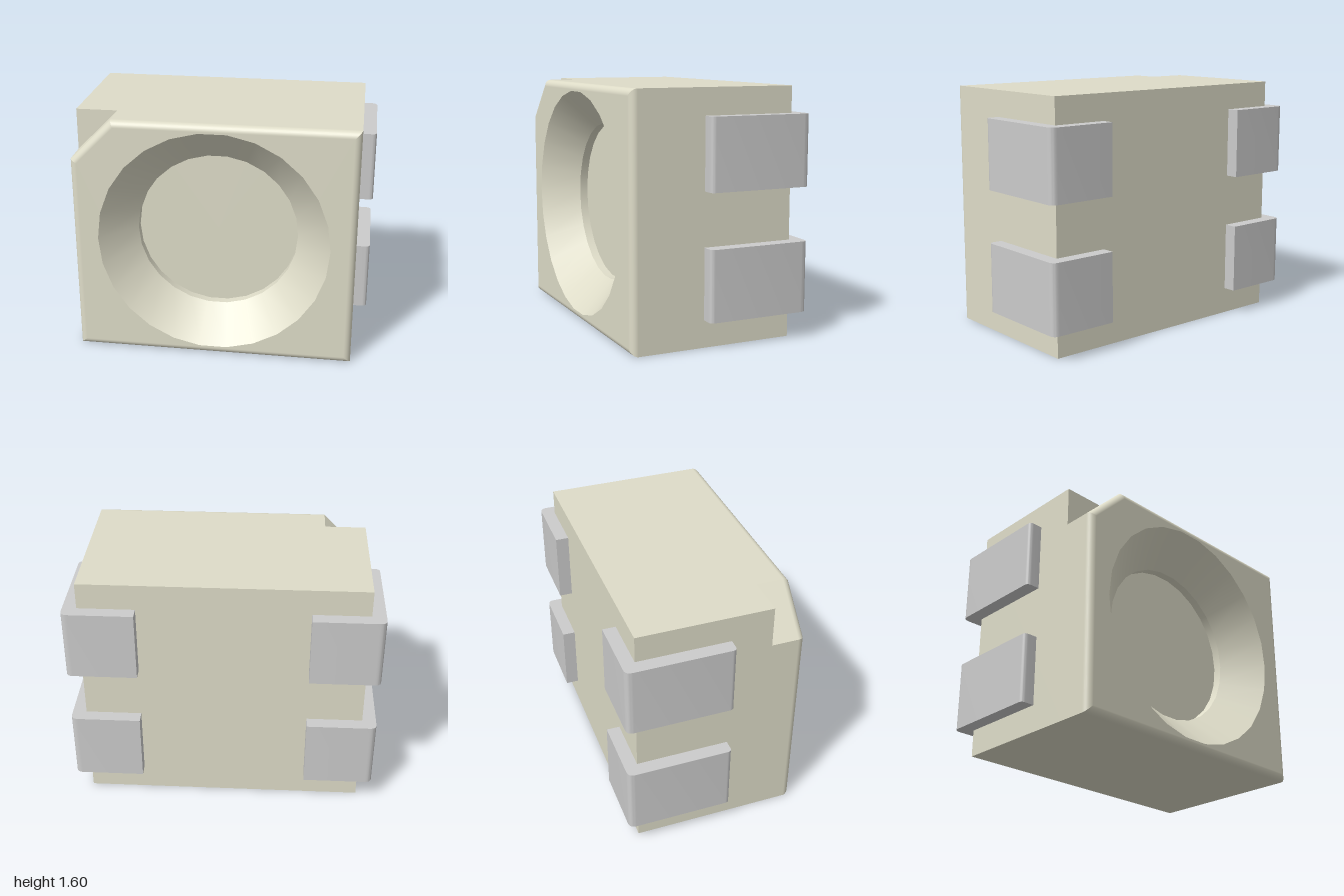
import * as THREE from 'three';
import { toCreasedNormals } from 'three/addons/utils/BufferGeometryUtils.js';

const BACK = -0.5, LEDGE = 0.365, FLOOR = 0.31, FRONT = 0.585;
const R = 0.045, SIDES = 26, CY = 0.8;
const RECT = [[-0.91, 0], [0.91, 0], [0.91, 1.6], [-0.91, 1.6]];
const CUT = [[-0.91, 0], [0.91, 0], [0.91, 1.6], [-0.64, 1.6], [-0.91, 1.33]];

const edgeNormal = (a, b) => {
  const l = Math.hypot(b[0] - a[0], b[1] - a[1]);
  return [(b[1] - a[1]) / l, (a[0] - b[0]) / l];
};

// Convex counter-clockwise outline moved inwards by d, with mitred corners
function inset(poly, d) {
  return poly.map((p, i) => {
    const n = poly.length;
    const m = edgeNormal(poly[(i + n - 1) % n], p), k = edgeNormal(p, poly[(i + 1) % n]);
    const s = d / (1 + m[0] * k[0] + m[1] * k[1]);
    return [p[0] - (m[0] + k[0]) * s, p[1] - (m[1] + k[1]) * s];
  });
}

// Side walls through rings of { d: inset, z, a: tilt of the normal to the front }
function walls(poly, rings) {
  const pos = [], nor = [], idx = [];
  const loops = rings.map(r => inset(poly, r.d));
  poly.forEach((p, i) => {
    const j = (i + 1) % poly.length, n = edgeNormal(p, poly[j]), base = pos.length / 3;
    rings.forEach((r, k) => {
      for (const q of [loops[k][i], loops[k][j]]) {
        pos.push(q[0], q[1], r.z);
        nor.push(n[0] * Math.cos(r.a), n[1] * Math.cos(r.a), Math.sin(r.a));
      }
      if (k) {
        const o = base + 2 * k - 2;
        idx.push(o, o + 1, o + 3, o, o + 3, o + 2);
      }
    });
  });
  const g = new THREE.BufferGeometry();
  g.setAttribute('position', new THREE.Float32BufferAttribute(pos, 3));
  g.setAttribute('normal', new THREE.Float32BufferAttribute(nor, 3));
  g.setIndex(idx);
  return g;
}

const outline = pts => new THREE.Shape(pts.map(p => new THREE.Vector2(p[0], p[1])));

// Inward-facing band of the recess, from the front ring to the deeper one
const band = (r0, z0, r1, z1) => new THREE.LatheGeometry(
  [new THREE.Vector2(r0, z0), new THREE.Vector2(r1, z1)], SIDES, Math.PI / 2)
  .rotateX(Math.PI / 2).translate(0, CY, 0);

// L-shaped contact wrapping a rear side edge; s = +1 left, -1 right
function contactGeometry(s) {
  const h = 0.455, r = 0.045, e = 0.03;
  const sh = new THREE.Shape();
  sh.moveTo(s * 0.91, -0.1);
  sh.lineTo(s * (1 - e), -0.1);
  sh.quadraticCurveTo(s, -0.1, s, -0.1 + e);
  sh.lineTo(s, 0.585 - r);
  sh.quadraticCurveTo(s, 0.585, s * (1 - r), 0.585);
  sh.lineTo(s * 0.545, 0.585);
  sh.lineTo(s * 0.545, 0.5);
  sh.lineTo(s * 0.91, 0.5);
  sh.closePath();
  const g = new THREE.ExtrudeGeometry(sh, { depth: h, bevelEnabled: false, curveSegments: 8 });
  return toCreasedNormals(g.rotateX(-Math.PI / 2), 0.6);
}

export function createModel() {
  const model = new THREE.Group();
  const bodyMat = new THREE.MeshStandardMaterial({ color: 0xdedcc8 });
  const metalMat = new THREE.MeshStandardMaterial({ color: 0xcccccc });
  const add = (parent, name, geo, mat) => {
    const m = new THREE.Mesh(geo, mat);
    m.name = name;
    parent.add(m);
    return m;
  };

  // Housing: plain rear block, then a front with one cut corner and rounded edges
  const housing = new THREE.Group();
  housing.name = 'housing';
  model.add(housing);
  add(housing, 'rearWalls', walls(RECT, [{ d: 0, z: BACK, a: 0 }, { d: 0, z: LEDGE, a: 0 }]), bodyMat);
  add(housing, 'backFace', new THREE.PlaneGeometry(1.82, 1.6).rotateY(Math.PI).translate(0, CY, BACK), bodyMat);
  add(housing, 'cornerLedge',
    new THREE.ShapeGeometry(outline([[-0.91, 1.33], [-0.64, 1.6], [-0.91, 1.6]])).translate(0, 0, LEDGE), bodyMat);

  const rings = [{ d: 0, z: LEDGE, a: 0 }];
  for (let i = 0; i <= 8; i++) {
    const a = i / 8 * Math.PI / 2;
    rings.push({ d: R * (1 - Math.cos(a)), z: FRONT - R + R * Math.sin(a), a });
  }
  add(housing, 'frontRoundedWalls', walls(CUT, rings), bodyMat);

  const face = outline(inset(CUT, R));
  const hole = [];
  for (let i = 0; i < SIDES; i++) {
    const a = i / SIDES * Math.PI * 2;
    hole.push(new THREE.Vector2(0.75 * Math.cos(a), CY + 0.75 * Math.sin(a)));
  }
  face.holes.push(new THREE.Path(hole));
  add(housing, 'frontFace', new THREE.ShapeGeometry(face).translate(0, 0, FRONT), bodyMat);

  // Conical recess with a short straight step and a flat floor
  add(housing, 'recessCone', band(0.75, FRONT, 0.53, LEDGE), bodyMat);
  add(housing, 'recessStep', band(0.53, LEDGE, 0.53, FLOOR), bodyMat);
  add(housing, 'recessFloor', new THREE.CircleGeometry(0.53, SIDES).translate(0, CY, FLOOR), bodyMat);

  // Four contacts
  for (const s of [1, -1]) {
    const geo = contactGeometry(s);
    for (const [level, y] of [['Lower', 0.175], ['Upper', 0.975]]) {
      add(model, (s > 0 ? 'left' : 'right') + level + 'Contact', geo, metalMat).position.y = y;
    }
  }
  return model;
}
